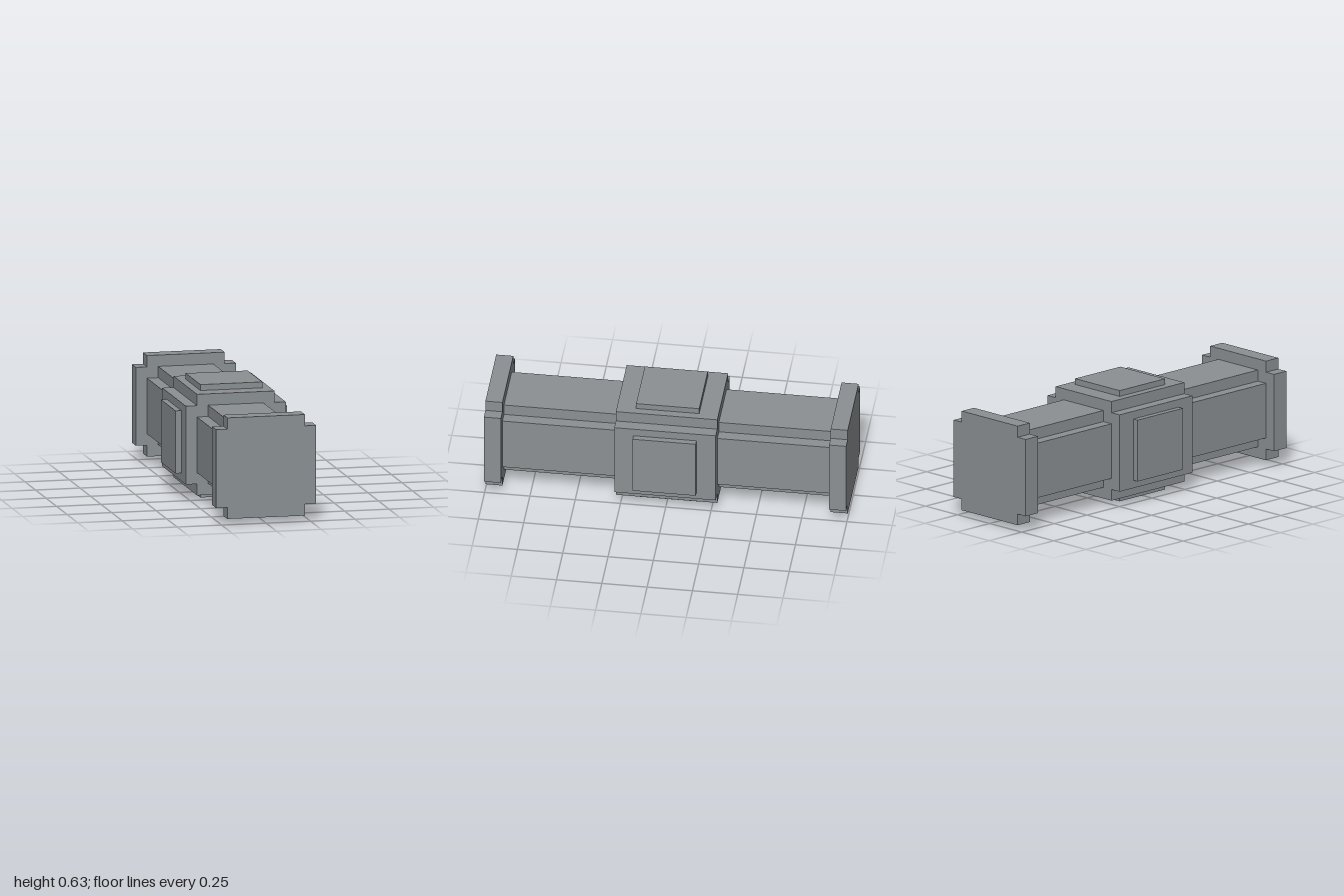
import * as THREE from 'three';

const CENTRE_Y = 0.314;

// Square outline with a square notch cut from every corner
function notchedSquare(outer, inner) {
  const points = [];
  for (let i = 0; i < 4; i++) {
    const a = (i * Math.PI) / 2;
    for (const [x, y] of [[outer, inner], [inner, inner], [inner, outer]]) {
      points.push(new THREE.Vector2(x, y).rotateAround(new THREE.Vector2(), a));
    }
  }
  return new THREE.Shape(points);
}

export function createModel() {
  const model = new THREE.Group();
  model.name = 'notchedBeam';
  const grey = new THREE.MeshStandardMaterial({ color: 0x8b9093 });
  grey.name = 'steel grey';

  const body = new THREE.Group();
  body.name = 'body';
  body.position.y = CENTRE_Y;
  model.add(body);

  // Notched bar running along z
  function addBar(name, outer, inner, z0, z1) {
    const geometry = new THREE.ExtrudeGeometry(notchedSquare(outer, inner), {
      depth: z1 - z0,
      bevelEnabled: false,
    });
    const mesh = new THREE.Mesh(geometry, grey);
    mesh.name = name;
    mesh.position.z = z0;
    body.add(mesh);
  }

  addBar('centreBlock', 0.281, 0.218, -0.28, 0.28);
  addBar('frontShaft', 0.218, 0.155, 0.28, 0.906);
  addBar('backShaft', 0.218, 0.155, -0.906, -0.28);
  addBar('frontFlange', 0.281, 0.218, 0.906, 1);
  addBar('backFlange', 0.281, 0.218, -1, -0.906);

  // Raised square pads on the four long sides of the centre block
  ['leftPad', 'topPad', 'rightPad', 'bottomPad'].forEach((name, i) => {
    const a = (i * Math.PI) / 2;
    const pad = new THREE.Mesh(new THREE.BoxGeometry(0.033, 0.348, 0.348), grey);
    pad.name = name;
    pad.position.set(Math.cos(a) * 0.2975, Math.sin(a) * 0.2975, 0);
    pad.rotation.z = a;
    body.add(pad);
  });

  return model;
}
